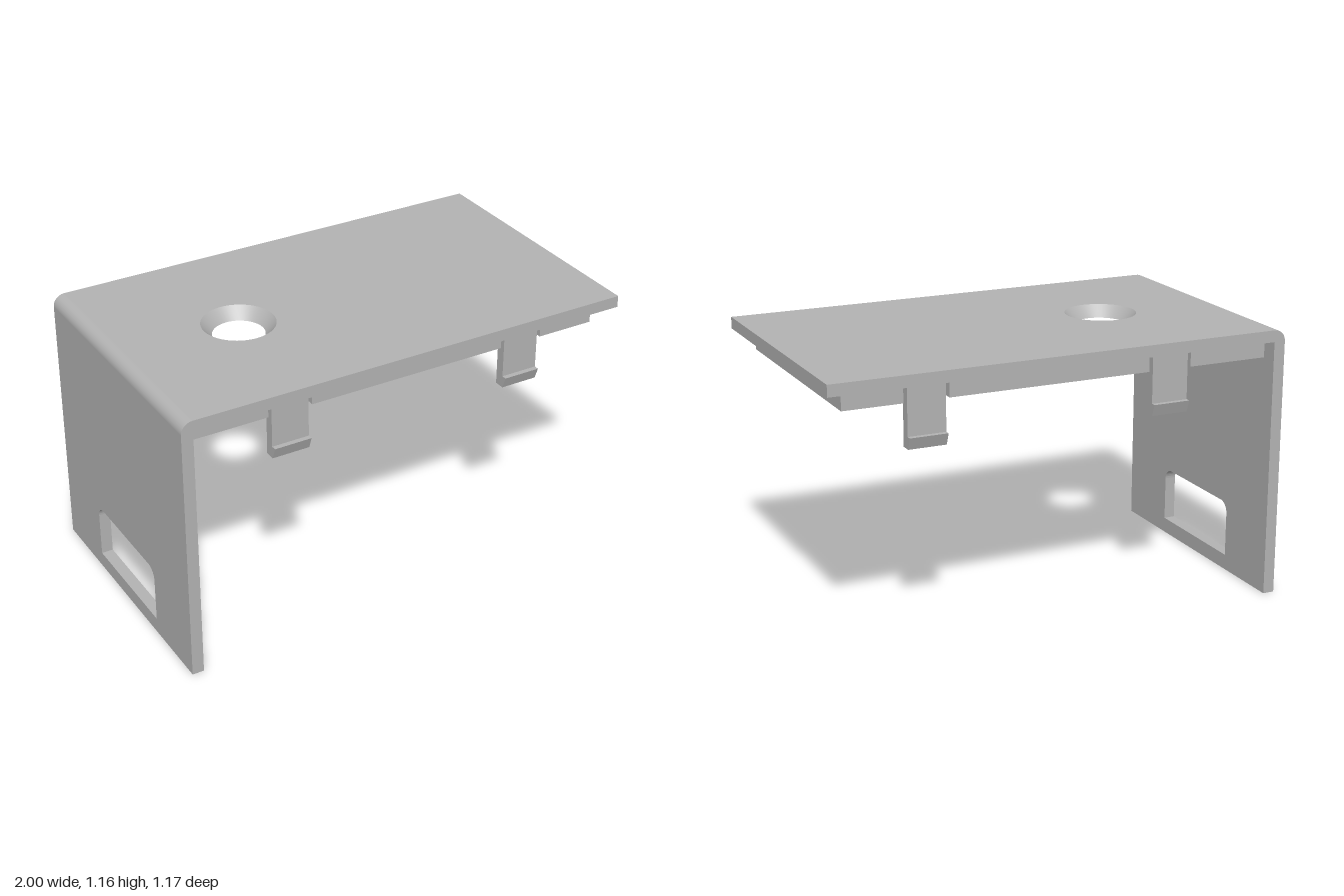
import * as THREE from 'three';
import { toCreasedNormals } from 'three/addons/utils/BufferGeometryUtils.js';

const T = 0.05;          // sheet thickness
const H = 1.16;          // overall height
const D = 0.587;         // half depth
const UNDER = H - T;     // underside of the top plate
const RIB = 0.513;       // outer face of the rim under the plate
const RIB_T = 0.042;     // rim thickness

export function createModel() {
  const group = new THREE.Group();
  const grey = new THREE.MeshStandardMaterial({ color: 0xb3b3b3 });
  grey.name = 'grey plastic';

  const add = (name, geometry, x = 0, y = 0, z = 0) => {
    const mesh = new THREE.Mesh(geometry, grey);
    mesh.name = name;
    mesh.position.set(x, y, z);
    group.add(mesh);
    return mesh;
  };
  const box = (name, x0, x1, y0, y1, z0, z1) =>
    add(name, new THREE.BoxGeometry(x1 - x0, y1 - y0, z1 - z0),
      (x0 + x1) / 2, (y0 + y1) / 2, (z0 + z1) / 2);
  const polygon = (pts) => new THREE.Shape(pts.map(([x, y]) => new THREE.Vector2(x, y)));
  const extrude = (shape, depth) =>
    toCreasedNormals(new THREE.ExtrudeGeometry(shape, { depth, bevelEnabled: false, curveSegments: 24 }), 0.6);

  // Top plate with a round opening
  const holeX = -0.45, rTop = 0.153, rBottom = 0.108;
  const plate = polygon([[-1 + T, -D], [1, -D], [1, D], [-1 + T, D]]);
  plate.holes.push(new THREE.Path().absarc(holeX, 0, rTop, 0, Math.PI * 2, true));
  add('topPlate', extrude(plate, T).rotateX(-Math.PI / 2), 0, UNDER, 0);

  // Conical countersink filling the opening's edge
  const cone = [[rTop, T], [rBottom, 0], [rTop, 0]].map(([x, y]) => new THREE.Vector2(x, y));
  add('countersink', toCreasedNormals(new THREE.LatheGeometry(cone, 48), 0.6), holeX, UNDER, 0);

  // Side wall with a window rounded at its upper corners
  const wall = polygon([[-D, 0], [D, 0], [D, UNDER], [-D, UNDER]]);
  const w = 0.268, y0 = 0.067, y1 = 0.31, r = 0.05;
  const slot = new THREE.Path();
  slot.moveTo(-w, y0);
  slot.lineTo(-w, y1 - r);
  slot.absarc(-w + r, y1 - r, r, Math.PI, Math.PI / 2, true);
  slot.lineTo(w - r, y1);
  slot.absarc(w - r, y1 - r, r, Math.PI / 2, 0, true);
  slot.lineTo(w, y0);
  slot.closePath();
  wall.holes.push(slot);
  add('sideWall', extrude(wall, T).rotateY(Math.PI / 2), -1, 0, 0);

  // Rounded bend between wall and plate
  const bend = new THREE.CylinderGeometry(T, T, D * 2, 12, 1, false, Math.PI, Math.PI / 2);
  add('roundedBend', bend.rotateX(Math.PI / 2), -1 + T, UNDER, 0);

  // Locating rim, broken where the clips sit
  const ribY = 1.028;
  for (const s of [-1, 1]) {
    const zs = [s * RIB, s * (RIB - RIB_T)].sort((a, b) => a - b);
    for (const [x0, x1] of [[-1 + T, -0.597], [-0.405, 0.475], [0.667, 0.92]]) {
      box('sideRib', x0, x1, ribY, UNDER, ...zs);
    }
  }
  box('endRib', 0.92 - RIB_T, 0.92, ribY, UNDER, -RIB + RIB_T, RIB - RIB_T);

  // Snap clips with outward hooks
  const clip = polygon([
    [RIB - RIB_T, UNDER], [RIB - RIB_T, 0.841], [0.516, 0.841],
    [0.535, 0.892], [RIB, 0.892], [RIB, UNDER],
  ]);
  const clipW = 0.162;
  const clipGeometry = extrude(clip, clipW).translate(0, 0, -clipW / 2);
  for (const x of [-0.502, 0.571]) {
    for (const s of [-1, 1]) {
      add('snapClip', clipGeometry, x).rotation.y = -s * Math.PI / 2;
    }
  }
  return group;
}
